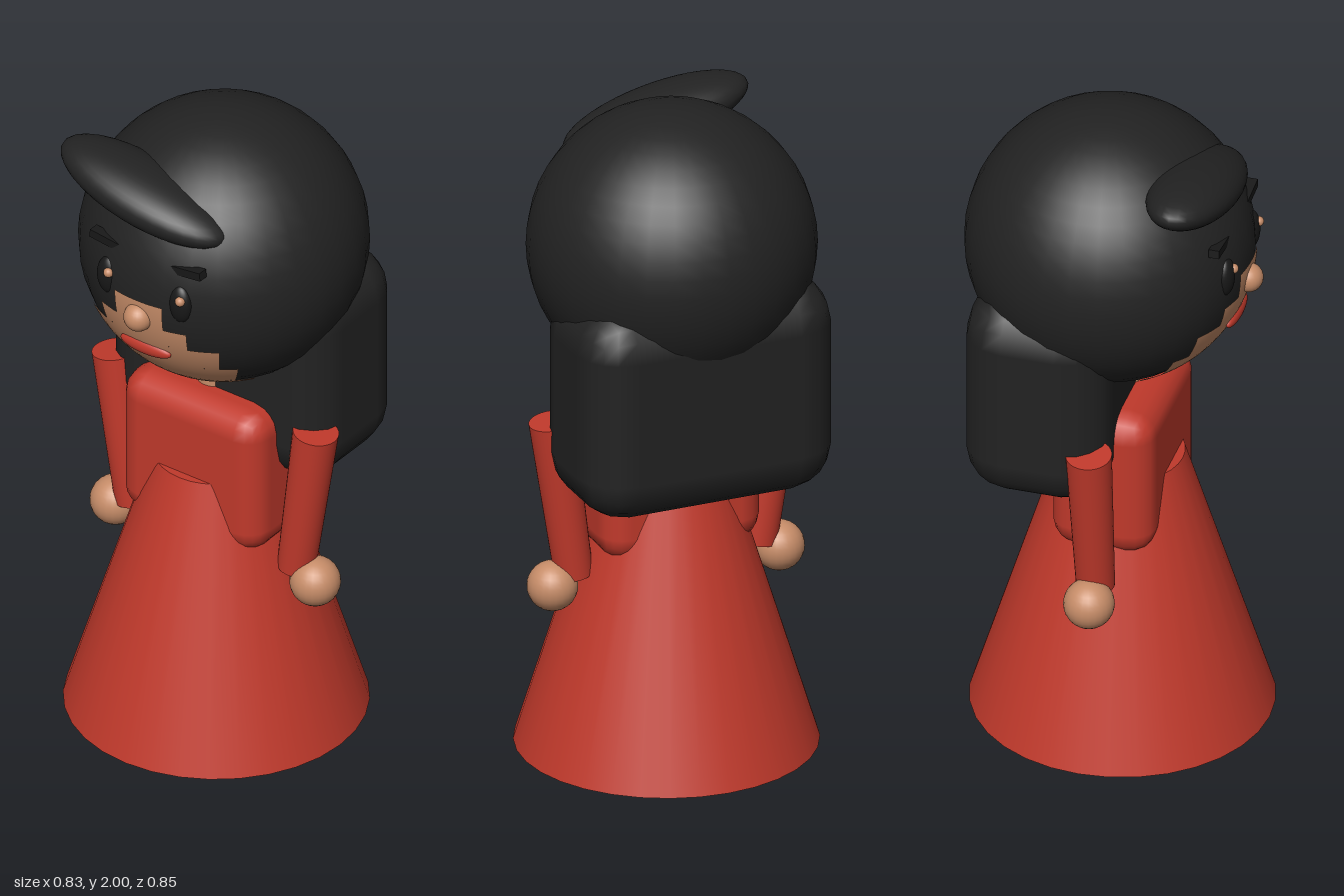
import * as THREE from 'three';
import { RoundedBoxGeometry } from 'three/addons/geometries/RoundedBoxGeometry.js';

function material(name, color) {
  const m = new THREE.MeshStandardMaterial({ color });
  m.name = name;
  return m;
}

export function createModel() {
  const red = material('red cloth', 0xc0392b);
  const skin = material('skin', 0xc68c68);
  const black = material('black hair', 0x222222);
  const dark = material('dark eyes', 0x181818);

  const model = new THREE.Group();
  model.name = 'doll';

  function add(name, geometry, mat, x, y, z, rz = 0, parent = model) {
    const mesh = new THREE.Mesh(geometry, mat);
    mesh.name = name;
    mesh.position.set(x, y, z);
    mesh.rotation.z = rz;
    parent.add(mesh);
    return mesh;
  }
  const ellipsoid = (rx, ry, rz) => new THREE.SphereGeometry(1, 32, 20).scale(rx, ry, rz);
  const cylinder = (top, bottom, h, n = 32) => new THREE.CylinderGeometry(top, bottom, h, n);

  // Head of hair, with the hanging back hair and the fringe
  const R = 0.395, headY = 1.605, headZ = -0.03;
  add('hairCap', new THREE.SphereGeometry(R, 32, 24), black, 0, headY, headZ);
  add('backHair', new RoundedBoxGeometry(0.74, 0.62, 0.41, 2, 0.13), black, 0, 1.235, -0.155);
  add('fringe', ellipsoid(0.275, 0.073, 0.12), black, -0.07, 1.86, 0.235, -0.21);

  // Face opening: stepped bands lying just over the hair sphere [bottom, top, half angle]
  const face = new THREE.Group();
  face.name = 'face';
  model.add(face);
  const bands = [
    [1.53, 1.605, 0.2], [1.47, 1.53, 0.37], [1.39, 1.47, 0.6],
    [1.31, 1.39, 0.75], [1.26, 1.31, 0.96], [1.225, 1.26, 0.95],
  ];
  const faceR = R + 0.004;
  for (const [y0, y1, half] of bands) {
    const t0 = Math.acos((y1 - headY) / faceR);
    const t1 = Math.acos((y0 - headY) / faceR);
    const band = new THREE.SphereGeometry(faceR, 16, 4, Math.PI / 2 - half, half * 2, t0, t1 - t0);
    add('faceBand', band, skin, 0, headY, headZ, 0, face);
  }

  // Features
  add('nose', new THREE.SphereGeometry(0.041, 24, 16), skin, 0, 1.548, 0.36);
  add('mouth', ellipsoid(0.084, 0.024, 0.019), red, 0, 1.435, 0.326);
  for (const s of [-1, 1]) {
    add('eye', ellipsoid(0.036, 0.058, 0.025), dark, s * 0.12, 1.622, 0.331);
    add('eyeHighlight', new THREE.SphereGeometry(0.014, 16, 12), skin, s * 0.12 + 0.012, 1.643, 0.35);
    add('eyebrow', new THREE.BoxGeometry(0.11, 0.024, 0.03), dark, s * 0.13, 1.725, 0.317, s * 0.12);
  }

  // Neck, bodice and skirt
  add('neck', cylinder(0.05, 0.05, 0.14), skin, 0, 1.2, 0.01);
  add('bodice', new RoundedBoxGeometry(0.47, 0.445, 0.29, 2, 0.075), red, 0, 0.943, 0.005);
  add('skirt', cylinder(0.17, 0.415, 0.795), red, 0, 0.5275, 0.005);

  // Arms, hands, legs and shoes
  for (const s of [-1, 1]) {
    add('sleeve', cylinder(0.063, 0.053, 0.465), red, s * 0.305, 0.89, 0.01, -s * 0.14);
    add('hand', new THREE.SphereGeometry(0.07, 24, 16), skin, s * 0.335, 0.635, 0.01);
    add('leg', cylinder(0.057, 0.057, 0.25), skin, s * 0.1, 0.125, 0.01);
    add('shoe', new RoundedBoxGeometry(0.13, 0.066, 0.215, 2, 0.03), black, s * 0.1, 0.037, 0.043);
  }
  return model;
}
